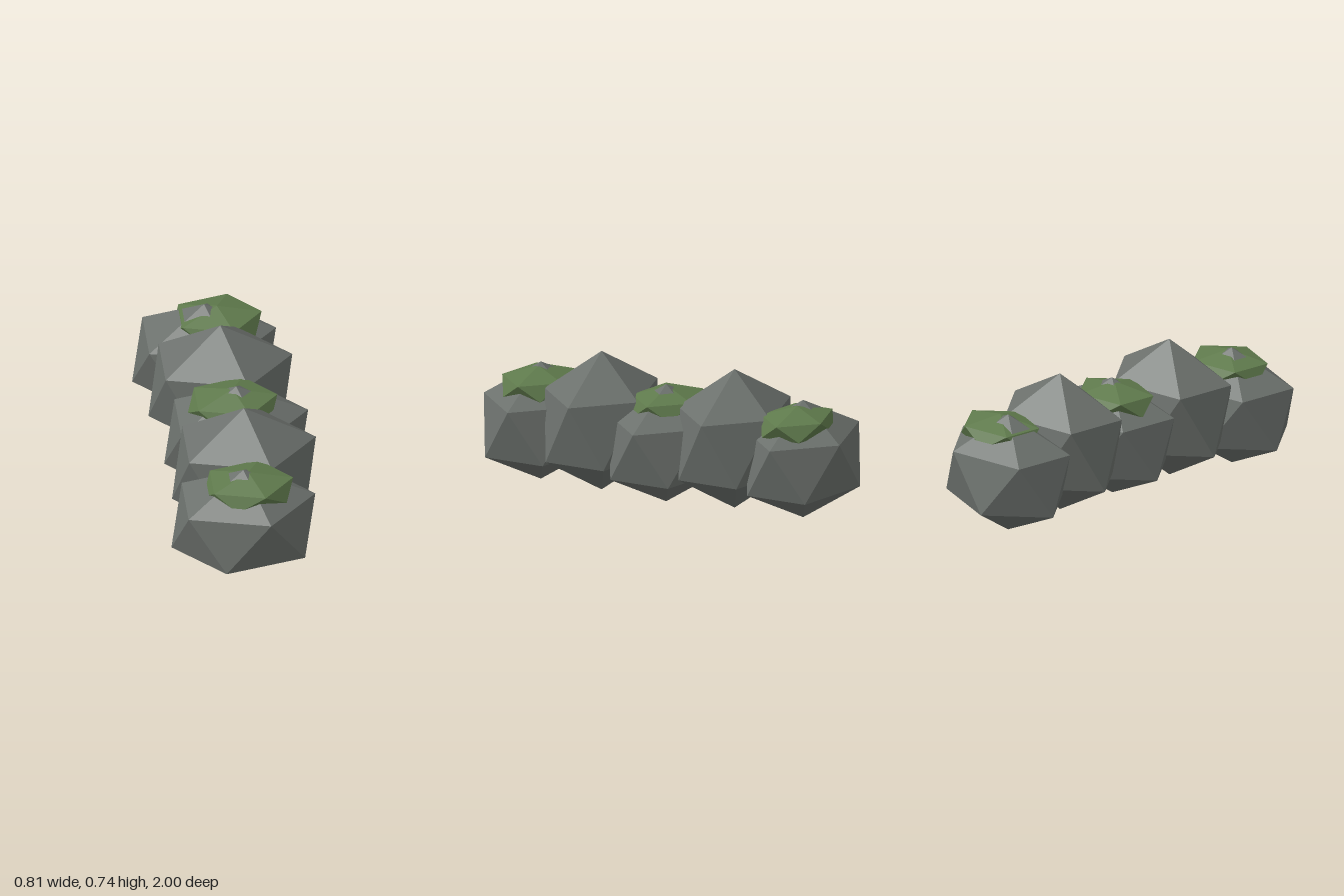
import * as THREE from 'three';

const stone = new THREE.MeshStandardMaterial({ color: 0x6b706c, flatShading: true });
const mossGreen = new THREE.MeshStandardMaterial({ color: 0x5f7a4c, flatShading: true });

// Icosahedron standing on one corner, with a corner of its upper ring toward +x
const TILT = -Math.atan(2 / (1 + Math.sqrt(5)));

function boulder(name, material, [rx, ry, rz], [x, y, z]) {
  const geometry = new THREE.IcosahedronGeometry(1, 0).rotateZ(TILT).scale(rx, ry, rz);
  const mesh = new THREE.Mesh(geometry, material);
  mesh.name = name;
  mesh.position.set(x, y, z);
  return mesh;
}

export function createModel() {
  const wall = new THREE.Group();
  wall.name = 'stoneWall';

  // Row of stones, front to back: low and tall alternate, with small sideways shifts
  const shifts = [-0.003, 0.04, 0.04, 0, -0.043];
  shifts.forEach((x, i) => {
    const z = 0.735 - i * 0.3675;
    const tall = i % 2 === 1;
    const ry = tall ? 0.366 : 0.31;
    const y = tall ? 0.375 : 0.31;
    wall.add(boulder(tall ? 'tallStone' : 'lowStone', stone, [0.408, ry, 0.279 / 0.8944], [x, y, z]));

    // Moss cap on each low stone
    if (!tall) wall.add(boulder('mossCap', mossGreen, [0.254, 0.09, 0.2], [0.022, 0.515, z]));
  });

  return wall;
}
